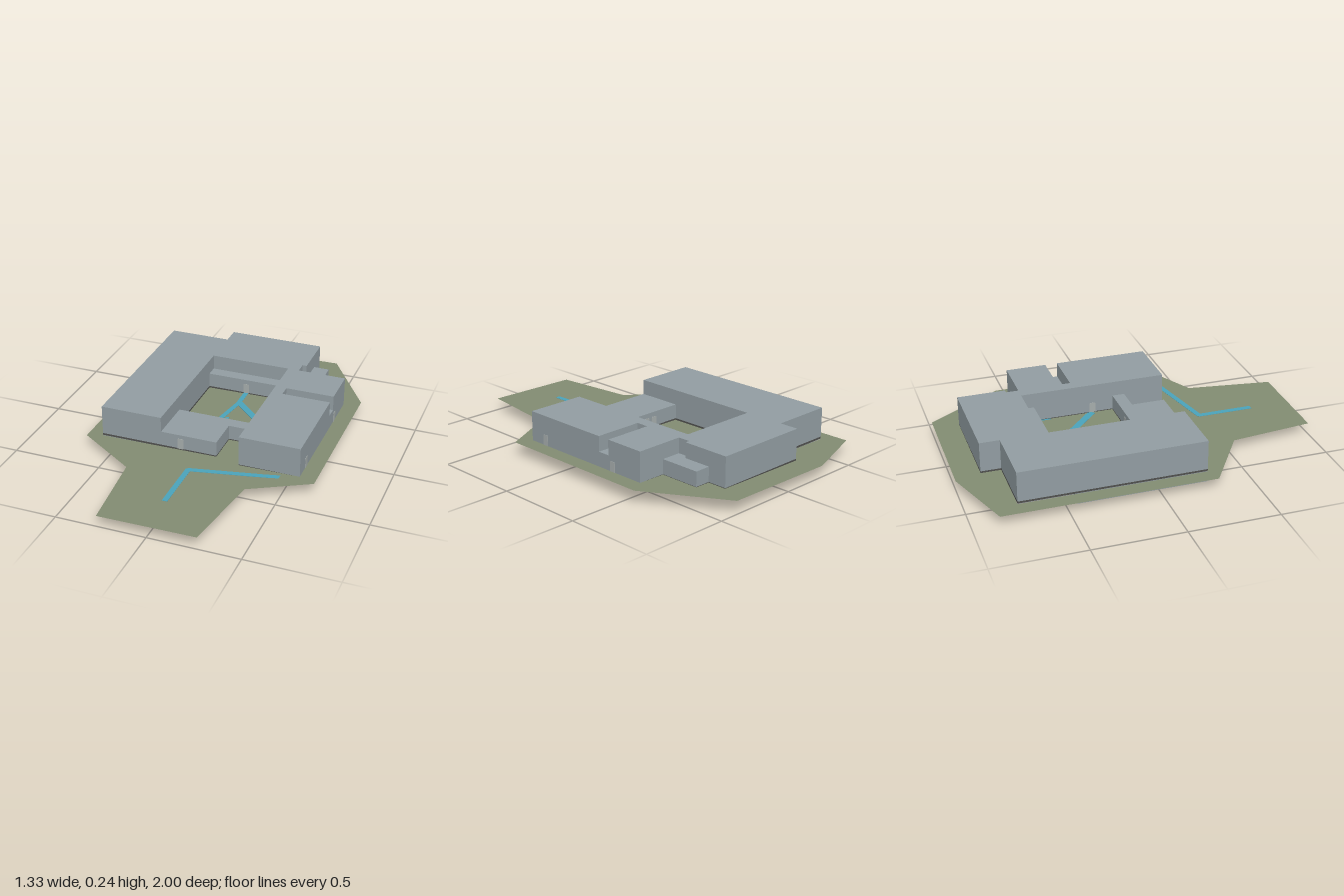
import * as THREE from 'three';

export function createModel() {
  const model = new THREE.Group();
  const mat = (name, color, side = THREE.FrontSide) => {
    const m = new THREE.MeshStandardMaterial({ color, side });
    m.name = name;
    return m;
  };
  const grey = mat('wall grey', 0x929da2);
  const dark = mat('plinth grey', 0x50504e);
  const green = mat('lawn green', 0x828c72, THREE.DoubleSide);
  const blue = mat('path blue', 0x4ba3bb);
  const pale = mat('door pale grey', 0xa6adac);

  const add = (name, geometry, material) => {
    const mesh = new THREE.Mesh(geometry, material);
    mesh.name = name;
    model.add(mesh);
    return mesh;
  };
  // plans are listed as [x, z]
  const toPoints = (plan) => plan.map(([x, z]) => new THREE.Vector2(x, -z));
  const planShape = (plan, hole) => {
    const s = new THREE.Shape(toPoints(plan));
    if (hole) s.holes.push(new THREE.Path(toPoints(hole)));
    return s;
  };
  const storey = (name, plan, hole, y0, y1, material) => {
    const g = new THREE.ExtrudeGeometry(planShape(plan, hole), { depth: y1 - y0, bevelEnabled: false });
    g.rotateX(-Math.PI / 2).translate(0, y0, 0);
    return add(name, g, material);
  };

  const footprint = [
    [-0.58, 0.27], [0.09, 0.27], [0.09, 0.08], [0.23, 0.08], [0.23, 0.31], [0.57, 0.31], [0.57, -0.52],
    [0.41, -0.52], [0.41, -0.75], [0.32, -0.75], [0.32, -0.86], [-0.23, -0.86], [-0.23, -0.75], [-0.58, -0.75],
  ];
  const court = [[-0.23, 0.01], [0.23, 0.01], [0.23, -0.45], [-0.23, -0.45]];
  const upper = [
    [-0.58, 0.27], [-0.23, 0.27], [-0.23, -0.52], [0.23, -0.52], [0.23, 0.31], [0.57, 0.31], [0.57, -0.22],
    [0.295, -0.22], [0.295, -0.29], [0.57, -0.29], [0.57, -0.52], [0.295, -0.52], [0.295, -0.59],
    [0.32, -0.59], [0.32, -0.86], [-0.23, -0.86], [-0.23, -0.75], [-0.58, -0.75],
  ];

  // building: floor, plinth, low storey, tall wings and cellar
  storey('floorSlab', footprint, court, 0.06, 0.062, grey);
  storey('plinth', footprint, court, 0.062, 0.073, dark);
  storey('lowerStorey', footprint, court, 0.073, 0.155, grey);
  storey('upperStorey', upper, null, 0.155, 0.24, grey);
  const cellar = add('cellar', new THREE.BoxGeometry(0.28, 0.06, 0.71), grey);
  cellar.position.set(-0.44, 0.03, -0.085);

  // gently sloping site, cut out under the building
  const site = [
    [-0.27, 1], [0.27, 1], [0.34, 0.52], [0.66, 0.35], [0.66, -0.57],
    [0.39, -1], [-0.27, -1], [-0.665, -0.86], [-0.665, 0.30], [-0.32, 0.53],
  ];
  const lawn = (name, plan, hole) => {
    const g = new THREE.ShapeGeometry(planShape(plan, hole)).rotateX(-Math.PI / 2);
    const p = g.attributes.position;
    for (let i = 0; i < p.count; i++) p.setY(i, 0.066 + 0.0125 * p.getX(i));
    g.computeVertexNormals();
    add(name, g, green);
  };
  lawn('siteGround', site, footprint);
  lawn('courtyardGround', court);

  // paths as thin strips between plan points
  const path = (name, points, width) => {
    for (let i = 0; i < points.length - 1; i++) {
      const [ax, az] = points[i], [bx, bz] = points[i + 1];
      const dx = bx - ax, dz = bz - az;
      const strip = add(name, new THREE.BoxGeometry(Math.hypot(dx, dz) + width * 0.4, 0.0015, width), blue);
      strip.position.set((ax + bx) / 2, 0.07075 + i * 0.0002, (az + bz) / 2);
      strip.rotation.y = -Math.atan2(dz, dx);
    }
  };
  path('entrancePath', [[0, 0.76], [0, 0.45], [0.40, 0.365], [0.61, 0.315], [0.585, 0.2]], 0.03);
  path('courtyardPath', [[0, -0.445], [0, -0.32], [-0.055, 0]], 0.027);
  path('courtyardBranchPath', [[0.01, -0.32], [0.22, -0.12]], 0.04);
  path('courtyardSpurPath', [[0, -0.14], [0, 0]], 0.02);
  path('courtyardEdgePath', [[0.223, -0.44], [0.223, -0.36]], 0.01);

  // round-cornered door plates, turned to face out of their wall
  const door = (x, z, turn, height) => {
    const w = 0.0175, r = 0.008;
    const s = new THREE.Shape();
    s.moveTo(-w, 0);
    s.lineTo(w, 0);
    s.lineTo(w, height - r);
    s.quadraticCurveTo(w, height, w - r, height);
    s.lineTo(-w + r, height);
    s.quadraticCurveTo(-w, height, -w, height - r);
    const d = add('door', new THREE.ExtrudeGeometry(s, { depth: 0.002, bevelEnabled: false }), pale);
    d.position.set(x, 0.071, z);
    d.rotation.y = turn;
  };
  const q = Math.PI / 2;
  door(-0.117, 0.27, 0, 0.062);
  door(0.57, 0.2, q, 0.062);
  door(0.57, -0.32, q, 0.058);
  door(0, -0.45, 0, 0.058);
  door(-0.055, 0.01, Math.PI, 0.058);
  door(0, 0.01, Math.PI, 0.058);
  door(0.23, -0.11, -q, 0.058);

  return model;
}
